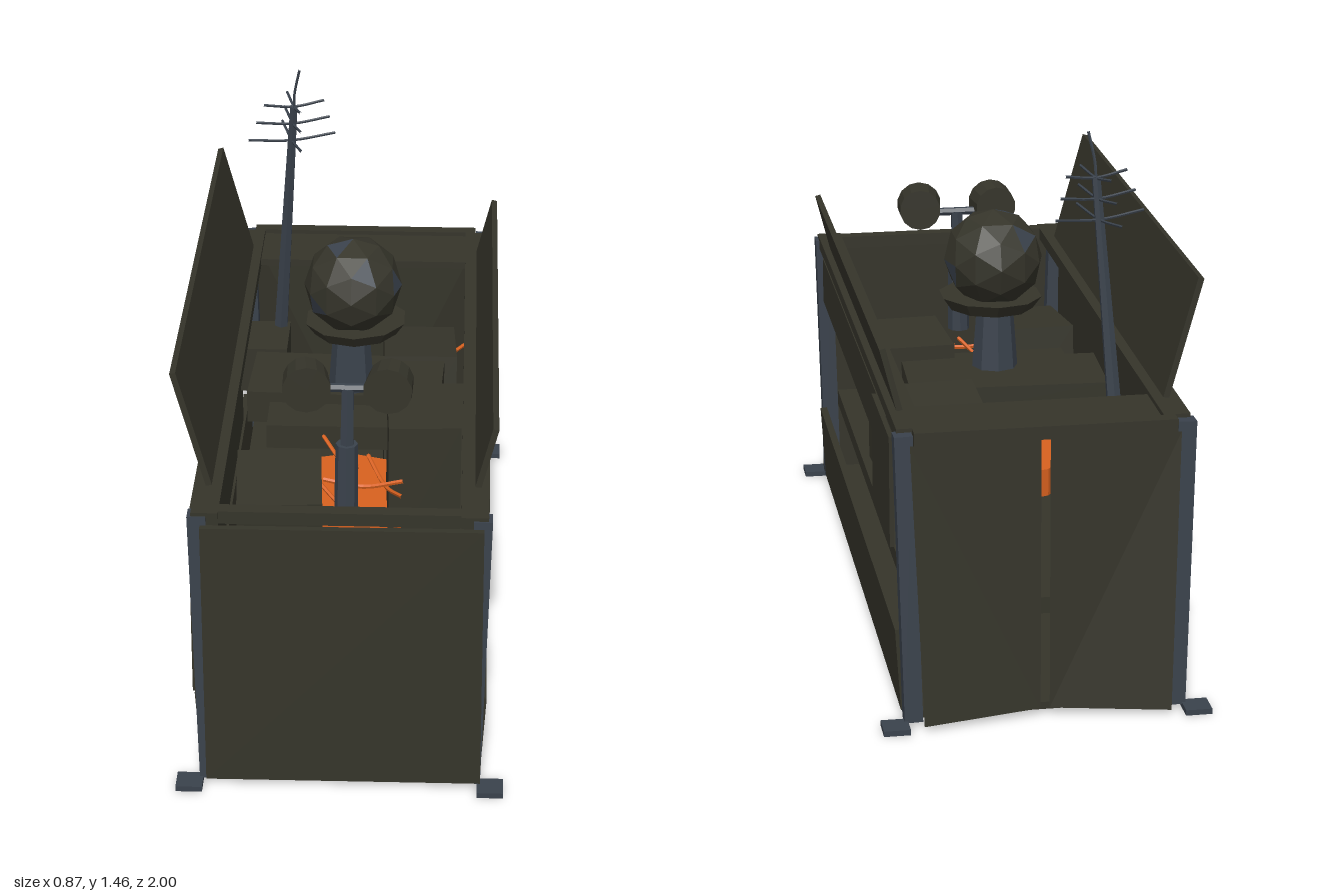
import * as THREE from 'three';

const V = (x, y, z) => new THREE.Vector3(x, y, z);

export function createModel() {
  const model = new THREE.Group();
  const mat = (name, color) => {
    const m = new THREE.MeshStandardMaterial({ color, flatShading: true });
    m.name = name;
    return m;
  };
  const olive = mat('olive plate', 0x35342a);
  const steel = mat('blue steel', 0x3a424c);
  const orange = mat('glowing orange', 0xd8611f);

  const add = (name, geo, m, pos = [0, 0, 0], rot = [0, 0, 0]) => {
    const mesh = new THREE.Mesh(geo, m);
    mesh.name = name;
    mesh.position.set(...pos);
    mesh.rotation.set(...rot);
    model.add(mesh);
    return mesh;
  };
  // box given by its ranges along x, y and z
  const block = (name, x, y, z, m = olive, rot) =>
    add(name, new THREE.BoxGeometry(x[1] - x[0], y[1] - y[0], z[1] - z[0]), m,
      [(x[0] + x[1]) / 2, (y[0] + y[1]) / 2, (z[0] + z[1]) / 2], rot);
  // straight bar between two points
  const bar = (name, a, b, r0, r1, sides, m, turn = 0) => {
    const geo = new THREE.CylinderGeometry(r1, r0, a.distanceTo(b), sides).rotateY(turn);
    const mesh = add(name, geo, m, a.clone().add(b).multiplyScalar(0.5).toArray());
    mesh.quaternion.setFromUnitVectors(V(0, 1, 0), b.clone().sub(a).normalize());
    return mesh;
  };
  const tube = (name, pts, r, m) =>
    add(name, new THREE.TubeGeometry(new THREE.CatmullRomCurve3(pts), 10, r, 5), m);

  // base and interior deck
  block('basePlate', [-0.36, 0.36], [0.01, 0.03], [-0.92, 0.94]);
  block('deck', [-0.33, 0.33], [0.255, 0.3], [-0.86, 0.89]);

  // corner posts and feet
  for (const sx of [-1, 1]) for (const sz of [-1, 1]) {
    block('foot', [sx * 0.397 - 0.035, sx * 0.397 + 0.035], [0, 0.015],
      [sz * 0.965 - 0.035, sz * 0.965 + 0.035], steel);
    bar('cornerPost', V(sx * 0.347, 0.01, sz * 0.925), V(sx * 0.366, 0.79, sz * 0.91),
      0.034, 0.034, 4, steel, Math.PI / 4);
  }

  // front wall and two buckled rear doors
  block('frontWall', [-0.355, 0.37], [0.015, 0.768], [0.935, 0.955], olive, [-0.008, 0, 0.004]);
  for (const s of [-1, 1]) {
    const shape = [V(s * 0.012, 0.02, -0.935), V(s * 0.325, 0.015, -0.99),
      V(s * 0.35, 0.765, -0.935), V(s * 0.012, 0.765, -0.925)];
    const quad = s < 0 ? [0, 1, 2, 0, 2, 3] : [0, 2, 1, 0, 3, 2];
    const geo = new THREE.BufferGeometry().setFromPoints(quad.map(i => shape[i]));
    geo.computeVertexNormals();
    const door = olive.clone();
    door.side = THREE.DoubleSide;
    add('rearDoor', geo, door);
  }

  // top rim and rear roof deck
  for (const s of [-1, 1]) {
    block('sideRail', [s * 0.345 - 0.035, s * 0.345 + 0.035], [0.765, 0.8], [-0.9, 0.93]);
    block('lowerSidePanel', [s * 0.368 - 0.01, s * 0.368 + 0.01], [0.015, 0.242], [-0.875, 0.895],
      olive, [0, 0, -s * 0.06]);
  }
  block('frontRail', [-0.34, 0.34], [0.765, 0.8], [0.88, 0.92]);
  block('rearRail', [-0.34, 0.34], [0.765, 0.8], [-0.94, -0.9]);
  block('rearRoof', [-0.33, 0.33], [0.768, 0.788], [-0.91, -0.7]);

  // right-hand wall with loose plates
  block('rightWall', [-0.39, -0.372], [0.245, 0.77], [-0.69, 0.89]);
  block('rightRearPlate', [-0.385, -0.37], [0.47, 0.77], [-0.89, -0.69]);
  block('patchPlate', [-0.402, -0.385], [0.34, 0.58], [-0.51, -0.2], olive, [0.05, 0, 0]);
  block('bentPlate', [-0.402, -0.384], [0.6, 0.76], [-0.52, -0.29], olive, [0.06, 0, 0.05]);

  // left-hand opening: valance and rear plate
  block('leftValance', [0.365, 0.383], [0.632, 0.768], [-0.7, 0.765]);
  block('leftRearPlate', [0.383, 0.395], [0.47, 0.768], [-0.87, -0.52]);

  // raised roof flaps
  const flap = (name, x0, x1, y1, z0, z1) => {
    const len = Math.hypot(x1 - x0, y1 - 0.8);
    add(name, new THREE.BoxGeometry(0.016, len, z1 - z0), olive,
      [(x0 + x1) / 2, (0.8 + y1) / 2, (z0 + z1) / 2], [0, 0, -Math.atan2(x1 - x0, y1 - 0.8)]);
  };
  flap('rightRoofFlap', -0.345, -0.432, 1.12, -0.77, 0.78);
  flap('leftRoofFlap', 0.352, 0.395, 0.968, -0.76, 0.765);

  // crates and cabinets inside
  block('tallCabinet', [0.1, 0.3], [0.3, 0.72], [0, 0.28], olive, [0, 0.05, 0]);
  block('rearCabinet', [0.075, 0.285], [0.305, 0.68], [-0.48, -0.21], olive, [-0.11, 0.04, 0]);
  block('frontCrate', [-0.3, -0.07], [0.305, 0.65], [0.29, 0.57], olive, [0.08, 0.06, 0]);
  block('wallBox', [-0.36, -0.22], [0.45, 0.59], [-0.68, -0.48]);
  block('turretTable', [-0.3, 0.25], [0.585, 0.68], [-0.265, 0], olive, [0, -0.04, 0]);
  block('tableShelf', [-0.24, 0.1], [0.58, 0.65], [-0.02, 0.14]);

  // orange core and sagging cables
  add('glowingCore', new THREE.CylinderGeometry(0.22, 0.22, 0.08, 10), orange, [-0.02, 0.35, 0.02]);
  const cable = (a, b, sag) => {
    const mid = a.clone().add(b).multiplyScalar(0.5);
    mid.y -= sag;
    tube('cable', [a, mid, b], 0.006, orange);
  };
  cable(V(-0.12, 0.5, 0.13), V(0.15, 0.53, 0.49), 0.06);
  cable(V(-0.08, 0.62, 0.14), V(0.03, 0.63, 0.34), 0.03);
  cable(V(0.05, 0.63, 0.27), V(0.15, 0.62, 0.49), 0.03);
  cable(V(-0.07, 0.6, 0.36), V(0.15, 0.62, 0.4), 0.02);
  cable(V(-0.05, 0.53, -0.27), V(-0.05, 0.53, 0.02), 0.06);
  cable(V(0.28, 0.63, -0.4), V(0.31, 0.63, -0.45), 0);

  // sensor dome on its neck, with patched facets
  bar('domeNeck', V(-0.01, 0.67, -0.07), V(-0.01, 0.87, -0.07), 0.065, 0.05, 8, steel);
  add('domeFlange', new THREE.CylinderGeometry(0.145, 0.12, 0.035, 10), olive,
    [0.003, 0.873, -0.07], [0, 0, 0.02]);
  const domeGeo = new THREE.IcosahedronGeometry(0.145, 1);
  for (let f = 0; f < 80; f++) domeGeo.addGroup(f * 3, 3, f % 9 === 4 ? 1 : 0);
  const dome = add('sensorDome', domeGeo, [olive, steel], [-0.005, 0.995, -0.07]);
  dome.scale.set(0.95, 0.95, 1.03);

  // twin lamp head
  bar('lampPostSocket', V(0, 0.6, 0.53), V(0.002, 0.8, 0.53), 0.032, 0.03, 8, steel);
  bar('lampPost', V(0.002, 0.79, 0.53), V(0.005, 0.965, 0.53), 0.02, 0.018, 6, steel);
  bar('lampCrossbar', V(-0.08, 0.965, 0.53), V(0.09, 0.965, 0.53), 0.012, 0.012, 6, steel);
  for (const x of [-0.105, 0.115])
    add('lamp', new THREE.CylinderGeometry(0.065, 0.06, 0.08, 14), olive,
      [x, 0.98, 0.54], [Math.PI / 2, 0, x * 0.8]);

  // leaning antenna mast with curved arms
  bar('antennaMast', V(-0.247, 0.6, -0.64), V(-0.197, 1.34, -0.553), 0.022, 0.012, 6, steel);
  tube('antennaWhip', [V(-0.197, 1.33, -0.553), V(-0.195, 1.38, -0.545), V(-0.179, 1.46, -0.533)],
    0.004, steel);
  for (const [y, half] of [[1.23, 0.13], [1.285, 0.11], [1.34, 0.09]]) {
    const t = (y - 0.6) / 0.74;
    const c = V(-0.247 + 0.05 * t, y, -0.64 + 0.087 * t);
    for (const a of [0.28, 0.28 + Math.PI / 2]) {
      const d = V(Math.cos(a) * half, 0.012, -Math.sin(a) * half);
      tube('antennaArm', [c.clone().add(V(-d.x, d.y, -d.z)), c, c.clone().add(d)], 0.004, steel);
    }
  }
  return model;
}
